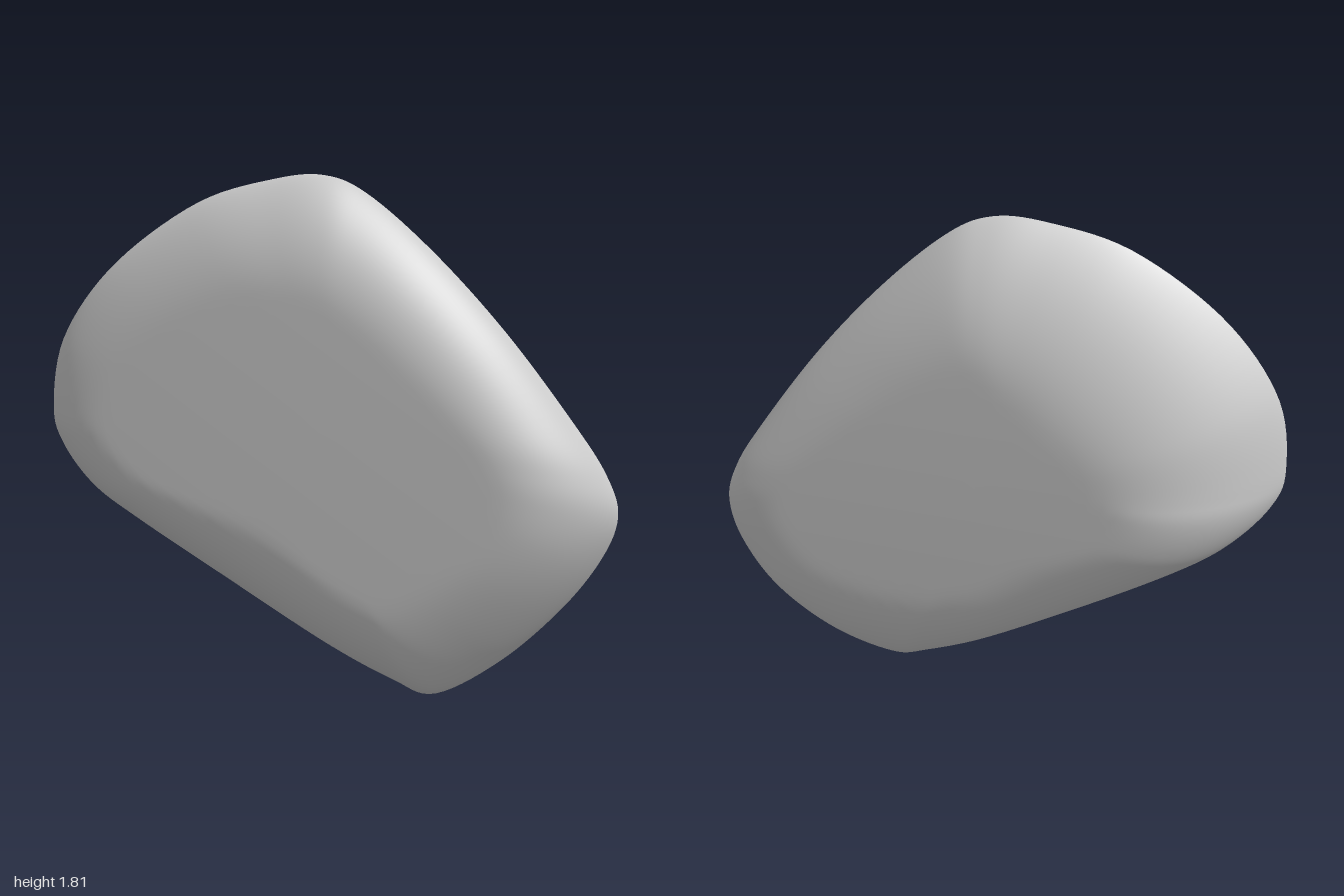
import * as THREE from 'three';

// Rim of the stone, clockwise: x, y, z of the edge, front bevel width, back bevel width
const RIM = [
  [-1, 1.0, 0.07, 0.24, 0.58], [-0.945, 1.25, 0.08, 0.28, 0.62], [-0.75, 1.5, 0.08, 0.32, 0.62],
  [-0.45, 1.71, 0.05, 0.36, 0.58], [-0.18, 1.79, 0.02, 0.4, 0.52], [0, 1.8, 0, 0.42, 0.46],
  [0.15, 1.73, -0.02, 0.4, 0.4], [0.38, 1.53, -0.02, 0.34, 0.32], [0.62, 1.27, -0.02, 0.32, 0.28],
  [0.85, 0.97, -0.03, 0.34, 0.27], [0.96, 0.8, -0.04, 0.38, 0.27], [1, 0.66, -0.06, 0.4, 0.27],
  [0.95, 0.5, -0.09, 0.38, 0.26], [0.82, 0.31, -0.1, 0.38, 0.28], [0.62, 0.12, -0.06, 0.4, 0.38],
  [0.4, 0, 0, 0.4, 0.46], [0.25, 0.04, 0, 0.36, 0.43],
  [0, 0.16, 0, 0.32, 0.36], [-0.4, 0.4, 0.01, 0.28, 0.33], [-0.7, 0.59, 0.03, 0.26, 0.36],
  [-0.86, 0.71, 0.05, 0.25, 0.42], [-0.97, 0.86, 0.06, 0.24, 0.5],
];
const CENTRE = new THREE.Vector2(0, 0.92);
const AROUND = 160, RINGS = 28;

// Broad faces: nearly flat, the back one tapering towards the left
const frontFace = (x, y) => 0.207 - 0.02 * (x - 0.1) ** 2 - 0.02 * (y - 0.75) ** 2;
const backFace = (x, y) => -0.2 + 0.04 * x + 0.03 * (y - 1) ** 2;

// Narrow bevels are round, wide ones flatten towards a chamfer
function bevelRise(depth, width) {
  const t = Math.min(depth / width, 1);
  return (1 - (1 - t) ** 2) ** Math.min(0.2 + 1.25 * width, 0.9);
}

function stoneGeometry() {
  const loop = (pick) => new THREE.CatmullRomCurve3(
    RIM.map((p) => new THREE.Vector3(...pick(p))), true, 'catmullrom', 0.5);
  const rim = loop((p) => [p[0], p[1], p[2]]);
  const bevels = loop((p) => [p[3], p[4], 0]);
  const positions = [], index = [];

  // Rings run from the front centre out to the rim and in to the back centre
  for (let k = 0; k <= 2 * RINGS; k++) {
    const inward = Math.abs(k / RINGS - 1) ** 2;
    const front = k < RINGS;
    for (let i = 0; i < AROUND; i++) {
      const edge = rim.getPoint(i / AROUND);
      const bevel = bevels.getPoint(i / AROUND);
      const x = THREE.MathUtils.lerp(edge.x, CENTRE.x, inward);
      const y = THREE.MathUtils.lerp(edge.y, CENTRE.y, inward);
      const rise = bevelRise(Math.hypot(edge.x - x, edge.y - y), front ? bevel.x : bevel.y);
      const face = front ? frontFace(x, y) : backFace(x, y);
      positions.push(x, y, THREE.MathUtils.lerp(edge.z, face, rise));

      // Triangles to the next ring, single ones at the two centres
      if (k === 2 * RINGS) continue;
      const a = k * AROUND + i, b = k * AROUND + (i + 1) % AROUND;
      const c = a + AROUND, d = b + AROUND;
      if (k > 0) index.push(a, b, c);
      if (k < 2 * RINGS - 1) index.push(b, d, c);
    }
  }
  const geometry = new THREE.BufferGeometry();
  geometry.setAttribute('position', new THREE.Float32BufferAttribute(positions, 3));
  geometry.setIndex(index);
  geometry.computeVertexNormals();
  return geometry;
}

export function createModel() {
  const group = new THREE.Group();
  group.name = 'flatStone';
  const stone = new THREE.Mesh(stoneGeometry(), new THREE.MeshStandardMaterial({ color: 0xcccccc }));
  stone.name = 'stone';
  group.add(stone);
  return group;
}
